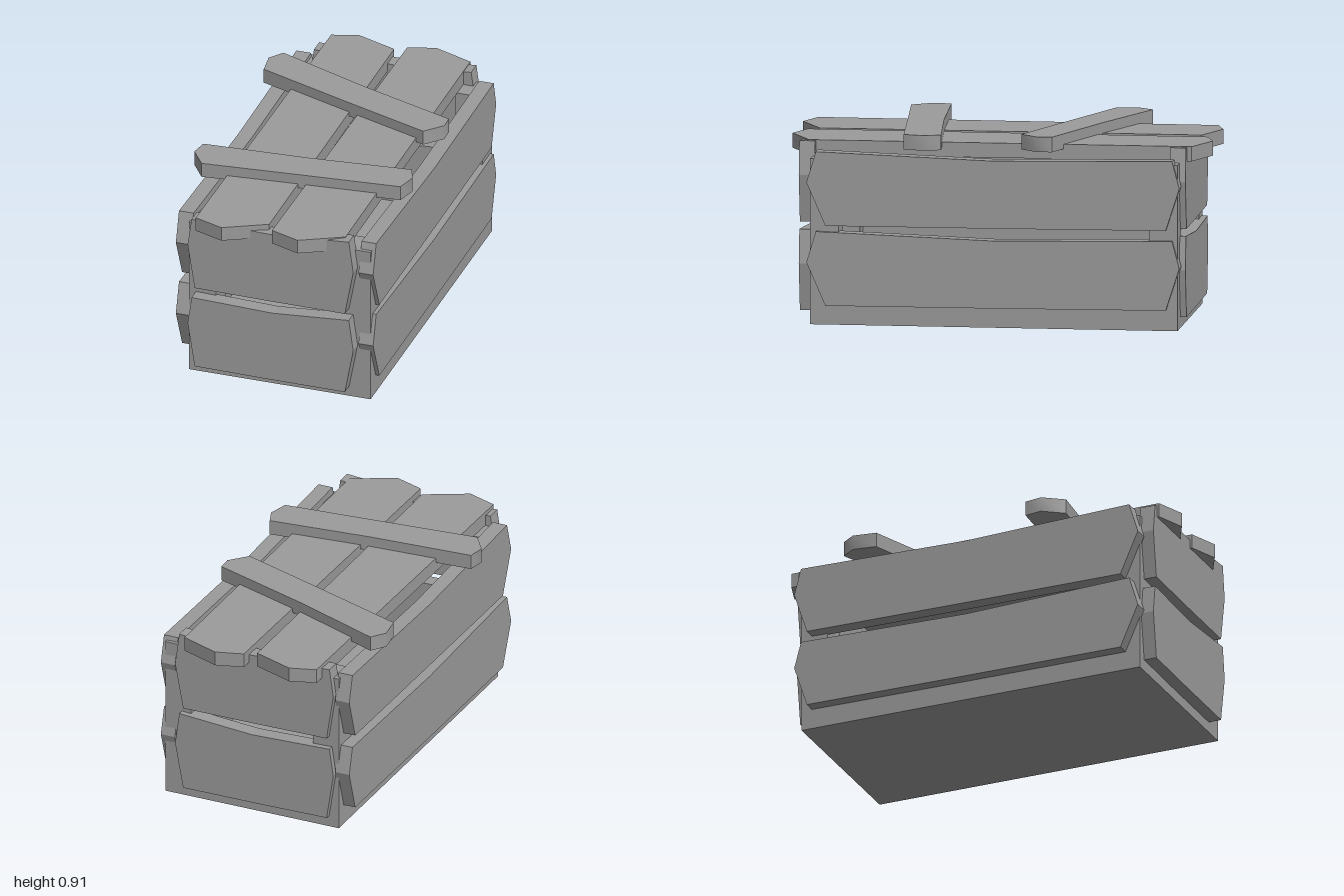
import * as THREE from 'three';
import { toCreasedNormals } from 'three/addons/utils/BufferGeometryUtils.js';

export function createModel() {
  const model = new THREE.Group();
  const material = new THREE.MeshStandardMaterial({ color: 0x9b9b9b });

  function add(name, geometry, x, y, z) {
    const mesh = new THREE.Mesh(geometry, material);
    mesh.name = name;
    mesh.position.set(x, y, z);
    model.add(mesh);
  }

  // A rough-sawn board: an irregular outline given a thickness
  function board(outline, depth) {
    const shape = new THREE.Shape(outline.map(([a, b]) => new THREE.Vector2(a, b)));
    return new THREE.ExtrudeGeometry(shape, { depth, bevelEnabled: false });
  }

  // Floor and four corner posts
  const left = -0.4, right = 0.507, half = 0.874;
  const midX = (left + right) / 2;
  add('floor', new THREE.BoxGeometry(right - left, 0.1, half * 2), midX, 0.05, 0);
  const post = 0.135;
  for (const x of [left + post / 2, right - post / 2]) {
    for (const s of [-1, 1]) {
      add('cornerPost', new THREE.BoxGeometry(post, 0.79, post), x, 0.395, s * (half - post / 2));
    }
  }

  // End boards, two rows at front and back (outline in x, y)
  const endOutline = [
    [-0.35, 0.057], [0, 0.053], [0.4, 0.052], [0.442, 0.28],
    [0.42, 0.441], [0.04, 0.412], [-0.365, 0.424], [-0.385, 0.285],
  ];
  const endBoard = board(endOutline, 0.075);
  for (const y of [0, 0.421]) {
    add('frontBoard', endBoard, 0, y, 0.862);
    add('backBoard', endBoard, 0, y, -0.903);
  }

  // Side boards, two rows on each side (outline in z, y)
  const sideOutline = [
    [0.8, 0.092], [0, 0.094], [-0.82, 0.099], [-0.885, 0.3],
    [-0.85, 0.43], [0, 0.416], [0.845, 0.445], [0.89, 0.298],
  ].reverse();
  const sideBoard = board(sideOutline, 0.073).rotateY(-Math.PI / 2);
  for (const y of [0, 0.381]) {
    add('leftBoard', sideBoard, 0.525, y, 0);
    add('rightBoard', sideBoard, -0.387, y, 0);
  }

  // Lid boards (outlines in x, z)
  const lidOutlines = [
    [[-0.325, -0.96], [-0.2, -1], [0.002, -0.925], [0.008, 0.895], [-0.195, 1], [-0.341, 0.947]],
    [[0.055, -0.96], [0.187, -1], [0.382, -0.925], [0.389, 0.895], [0.186, 1], [0.04, 0.947]],
  ];
  for (const o of lidOutlines) add('lidBoard', board(o, 0.07).rotateX(Math.PI / 2), 0, 0.863, 0);

  // Two crooked slats over the lid, their ends softly rounded (outlines in x, z)
  const slatOutlines = [
    [[-0.515, 0.335], [0, 0.303], [0.498, 0.252], [0.528, 0.33],
      [0.502, 0.43], [0, 0.476], [-0.46, 0.52], [-0.53, 0.42]],
    [[-0.45, -0.633], [0, -0.453], [0.5, -0.275], [0.502, -0.205],
      [0.425, -0.12], [0, -0.272], [-0.485, -0.45], [-0.5, -0.565]],
  ];
  for (const o of slatOutlines) {
    const slat = toCreasedNormals(board(o, 0.072).rotateX(Math.PI / 2), 0.82);
    add('lidSlat', slat, 0, 0.913, 0);
  }

  return model;
}
